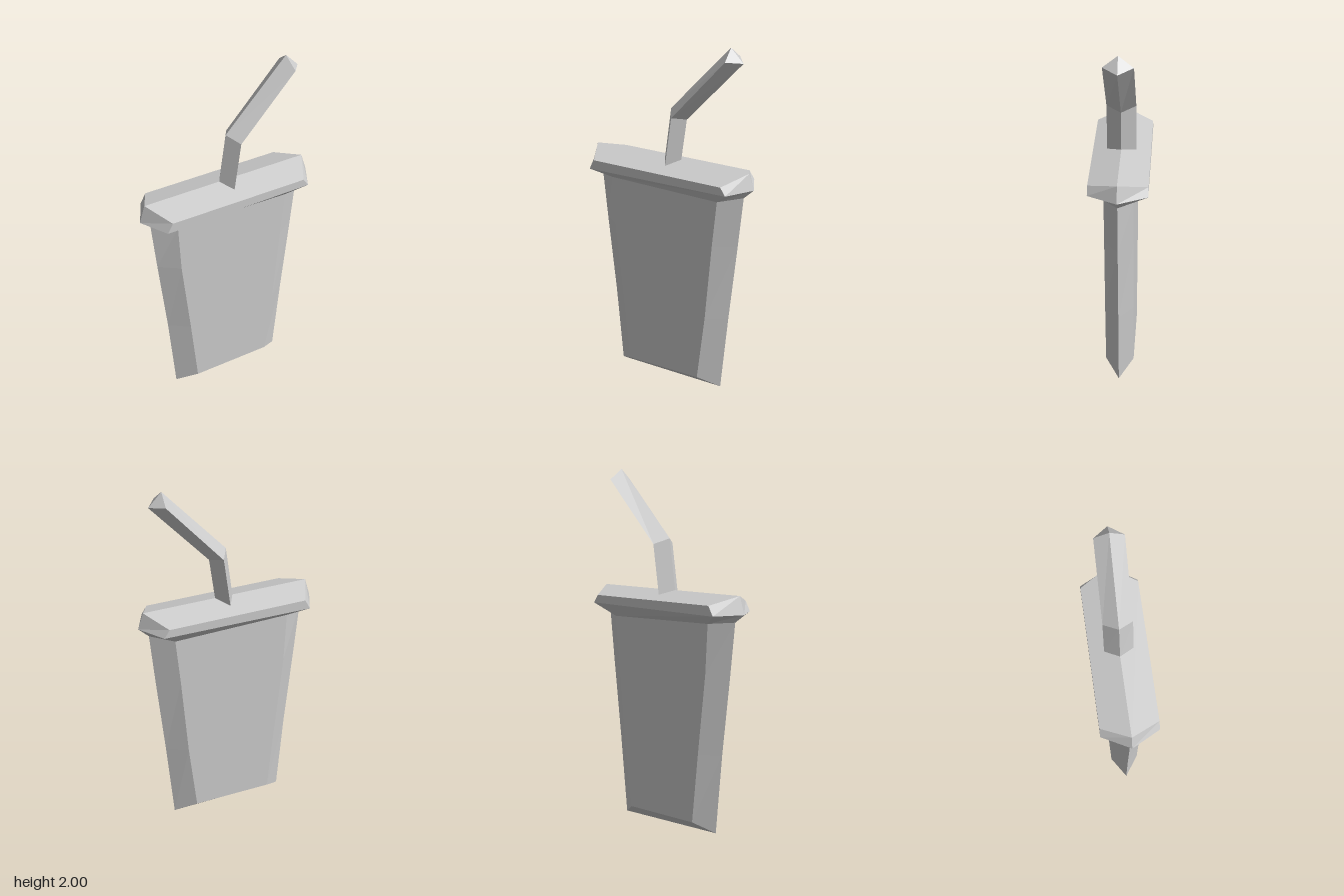
import * as THREE from 'three';

// Mirrors a front chain [[x, y, z], ...] (left to right, ends on z = 0) into a closed ring.
function ring(chain) {
  const back = chain.slice(1, -1).reverse().map(([x, y, z]) => [x, y, -z]);
  return [...chain, ...back];
}

// Skins rings from bottom to top, optionally closing either end.
function loft(name, chains, { capBottom = false, capTop = false }) {
  const rings = chains.map(ring);
  const n = rings[0].length;
  const index = [];
  for (let k = 0; k < rings.length - 1; k++) {
    for (let i = 0; i < n; i++) {
      const a = k * n + i, b = k * n + (i + 1) % n;
      index.push(a, b, b + n, a, b + n, a + n);
    }
  }
  const last = (rings.length - 1) * n;
  for (let i = 1; i < n - 1; i++) {
    if (capBottom) index.push(0, i + 1, i);
    if (capTop) index.push(last, last + i, last + i + 1);
  }
  const geometry = new THREE.BufferGeometry();
  geometry.setAttribute('position', new THREE.Float32BufferAttribute(rings.flat(2), 3));
  geometry.setIndex(index);
  geometry.computeVertexNormals();
  const material = new THREE.MeshStandardMaterial({
    color: 0xcccccc, flatShading: true, side: THREE.DoubleSide,
  });
  const mesh = new THREE.Mesh(geometry, material);
  mesh.name = name;
  return mesh;
}

export function createModel() {
  const model = new THREE.Group();
  model.name = 'drinkCup';

  // Seam shared by the top of the cup and the underside of the lid
  const seam = [[-0.465, 1.19, 0], [-0.34, 1.18, 0.08], [0.34, 1.168, 0.08], [0.46, 1.19, 0]];

  // Flat, tapering cup with bevelled sides and base
  model.add(loft('cup', [
    [[-0.34, 0, 0], [-0.235, 0.06, 0.08], [0.225, 0.065, 0.08], [0.335, 0, 0]],
    [[-0.382, 0.45, 0], [-0.275, 0.45, 0.08], [0.272, 0.45, 0.08], [0.38, 0.45, 0]],
    [[-0.434, 0.9, 0], [-0.325, 0.9, 0.08], [0.312, 0.9, 0.08], [0.43, 0.9, 0]],
    seam,
  ], { capBottom: true }));

  // Overhanging lid with a ridged top
  model.add(loft('lid', [
    seam,
    [[-0.525, 1.235, 0], [-0.44, 1.235, 0.16], [0.435, 1.245, 0.16], [0.52, 1.245, 0]],
    [[-0.495, 1.335, 0], [-0.41, 1.29, 0.16], [0.405, 1.29, 0.16], [0.49, 1.335, 0]],
  ], { capTop: true }));

  // Bent straw with a diamond section
  model.add(loft('straw', [
    [[-0.04, 1.333, 0], [0.01, 1.31, 0.08], [0.065, 1.333, 0]],
    [[0, 1.62, 0], [0.05, 1.59, 0.08], [0.1, 1.57, 0]],
    [[0.365, 2, 0], [0.375, 1.94, 0.08], [0.44, 1.925, 0]],
  ], { capTop: true }));

  return model;
}
